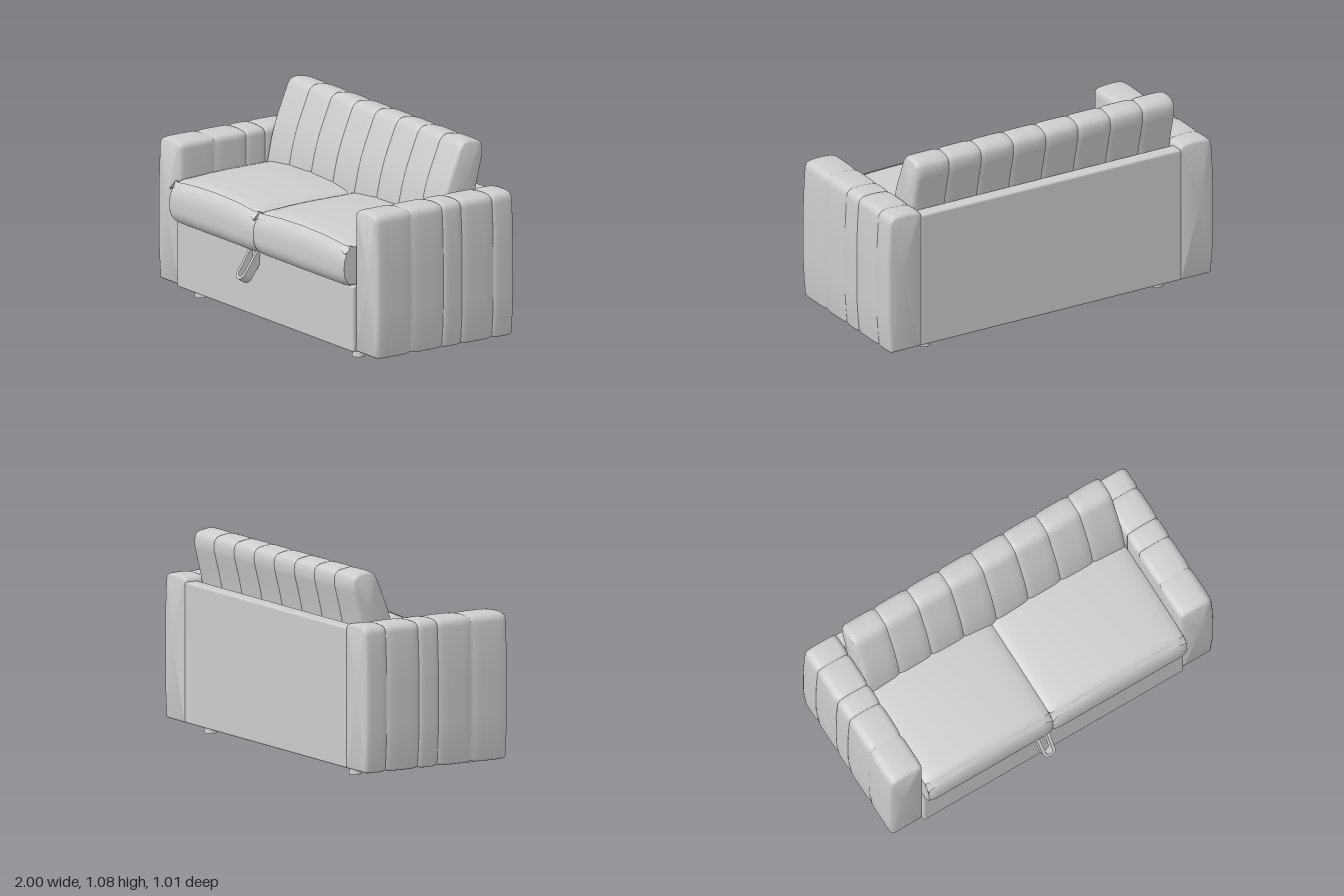
import * as THREE from 'three';
import { toCreasedNormals } from 'three/addons/utils/BufferGeometryUtils.js';
import { RoundedBoxGeometry } from 'three/addons/geometries/RoundedBoxGeometry.js';

// Closed counter-clockwise outline from corners [x, y, radius]
function roundedOutline(corners) {
  const out = [];
  corners.forEach(([x, y, r], i) => {
    const n = corners.length;
    const p = new THREE.Vector2(x, y);
    const toward = (q) => new THREE.Vector2(q[0], q[1]).sub(p).setLength(r).add(p);
    const a = toward(corners[(i + n - 1) % n]);
    const b = toward(corners[(i + 1) % n]);
    out.push(...new THREE.QuadraticBezierCurve(a, p, b).getPoints(6));
  });
  return out;
}

// Stations along a padded run: [position, place within its panel 0..1, is an outer end]
function panelStations(seams) {
  const steps = [0, 0.02, 0.06, 0.14, 0.28, 0.5, 0.72, 0.86, 0.94, 0.98, 1];
  const list = [];
  for (let i = 0; i < seams.length - 1; i++) {
    steps.forEach((u, k) => {
      if (i > 0 && k === 0) return;
      const end = (i === 0 && u < 0.5) || (i === seams.length - 2 && u > 0.5);
      list.push([seams[i] + (seams[i + 1] - seams[i]) * u, u, end]);
    });
  }
  return list;
}

// Skins an outline along z, reshaping each section with deform(point, normal, u, end)
function loft(outline, stations, deform) {
  const n = outline.length, pos = [], idx = [];
  const normals = outline.map((p, i) => {
    const a = p.clone().sub(outline[(i + n - 1) % n]).normalize();
    const b = outline[(i + 1) % n].clone().sub(p).normalize();
    const t = a.add(b).normalize();
    return new THREE.Vector2(t.y, -t.x);
  });
  for (const [t, u, end] of stations) {
    outline.forEach((p, i) => {
      const q = deform(p, normals[i], u, end);
      pos.push(q.x, q.y, t);
    });
  }
  for (let s = 0; s < stations.length - 1; s++) {
    for (let i = 0; i < n; i++) {
      const a = s * n + i, b = s * n + (i + 1) % n;
      idx.push(a, b, b + n, a, b + n, a + n);
    }
  }
  // Flat end caps
  const c = outline.reduce((sum, p) => sum.add(p), new THREE.Vector2()).divideScalar(n);
  const first = pos.length / 3, last = (stations.length - 1) * n;
  pos.push(c.x, c.y, stations[0][0], c.x, c.y, stations[stations.length - 1][0]);
  for (let i = 0; i < n; i++) {
    const j = (i + 1) % n;
    idx.push(first, j, i, first + 1, last + i, last + j);
  }
  const g = new THREE.BufferGeometry();
  g.setAttribute('position', new THREE.Float32BufferAttribute(pos, 3));
  g.setIndex(idx);
  return toCreasedNormals(g, 0.7);
}

// Draws the section inwards at seams and more so at the outer ends
const padded = (seamDepth, endDepth) => (p, n, u, end) => {
  const e = Math.abs(2 * u - 1);
  const d = seamDepth * e ** 6 + (end ? (endDepth - seamDepth) * e ** 24 : 0);
  return p.clone().addScaledVector(n, -d);
};

export function createModel() {
  const group = new THREE.Group();
  const upholstery = new THREE.MeshStandardMaterial({ color: 0xcccccc });
  upholstery.name = 'light grey upholstery';
  const add = (name, geometry, x = 0, y = 0, z = 0) => {
    const mesh = new THREE.Mesh(geometry, upholstery);
    mesh.name = name;
    mesh.position.set(x, y, z);
    group.add(mesh);
    return mesh;
  };

  // Arms: channelled along their depth
  const armCorners = [
    [0.79, 0.048, 0.01], [0.985, 0.048, 0.015], [1.0, 0.22, 0.08], [1.0, 0.6, 0.1],
    [0.987, 0.825, 0.045], [0.89, 0.833, 0.04], [0.79, 0.822, 0.035],
  ];
  const armSeams = [-0.5, -0.37, -0.17, -0.05, 0.155, 0.377];
  for (const side of [1, -1]) {
    const corners = armCorners.map(([x, y, r]) => [x * side, y, r]);
    if (side < 0) corners.reverse();
    add(side > 0 ? 'leftArm' : 'rightArm',
      loft(roundedOutline(corners), panelStations(armSeams), padded(0.008, 0.018)));
  }

  // Base and rear panel
  add('base', new RoundedBoxGeometry(1.6, 0.36, 0.85, 3, 0.012), 0, 0.23, -0.03);
  add('backPanel', new RoundedBoxGeometry(1.6, 0.75, 0.08, 3, 0.012), 0, 0.426, -0.459);

  // Back cushion: eight upright channels, outline in (z, y) swept along x
  const backOutline = roundedOutline([
    [-0.37, 0.6, 0.02], [-0.16, 0.6, 0.02], [-0.208, 0.83, 0.1], [-0.318, 1.094, 0.06],
    [-0.448, 1.07, 0.04], [-0.455, 1.0, 0.025], [-0.412, 0.83, 0.06],
  ]);
  const backSeams = Array.from({ length: 9 }, (_, i) => -0.792 + i * 0.198);
  add('backCushion', loft(backOutline, panelStations(backSeams), padded(0.009, 0.018))
    .rotateY(-Math.PI / 2));

  // Seat cushions: crowned across their width
  const seatOutline = roundedOutline([
    [-0.36, 0.405, 0.02], [0.41, 0.405, 0.02], [0.455, 0.45, 0.04], [0.455, 0.58, 0.06],
    [0.4, 0.632, 0.05], [0.15, 0.645, 0.1], [-0.36, 0.645, 0.03],
  ]);
  const crown = (p, n, u) => {
    const e = Math.abs(2 * u - 1);
    const rise = 0.027 * (1 - e ** 2.2) * THREE.MathUtils.clamp((p.y - 0.45) / 0.18, 0, 1);
    const q = p.clone().addScaledVector(n, -0.012 * e ** 24);
    q.y += rise;
    return q;
  };
  for (const [name, a, b] of [['leftSeatCushion', -0.79, 0.035], ['rightSeatCushion', 0.035, 0.797]]) {
    add(name, loft(seatOutline, panelStations([a, b]), crown).rotateY(-Math.PI / 2));
  }

  // Pull strap: a hanging loop of webbing
  const loop = (Path, top, r) => {
    const s = new Path();
    s.moveTo(-r - 0.005, top);
    s.lineTo(-r, -0.165);
    s.absarc(0, -0.165, r, Math.PI, Math.PI * 2, false);
    s.lineTo(r + 0.005, top);
    s.closePath();
    return s;
  };
  const strapShape = loop(THREE.Shape, 0, 0.037);
  strapShape.holes.push(loop(THREE.Path, -0.01, 0.02));
  const strapGeometry = new THREE.ExtrudeGeometry(strapShape,
    { depth: 0.052, bevelEnabled: false, curveSegments: 10 }).translate(0, 0, -0.026);
  const strap = add('pullStrap', toCreasedNormals(strapGeometry, 0.7), -0.085, 0.422, 0.37);
  strap.rotation.x = -0.6;

  // Feet
  const footProfile = [[0, 0], [0.034, 0], [0.034, 0.01], [0.028, 0.028], [0.031, 0.06]]
    .map(([r, y]) => new THREE.Vector2(r, y));
  const foot = toCreasedNormals(new THREE.LatheGeometry(footProfile, 20), 0.7);
  for (const x of [-0.715, 0.715]) {
    for (const z of [0.298, -0.39]) add('foot', foot, x, 0, z);
  }
  return group;
}
